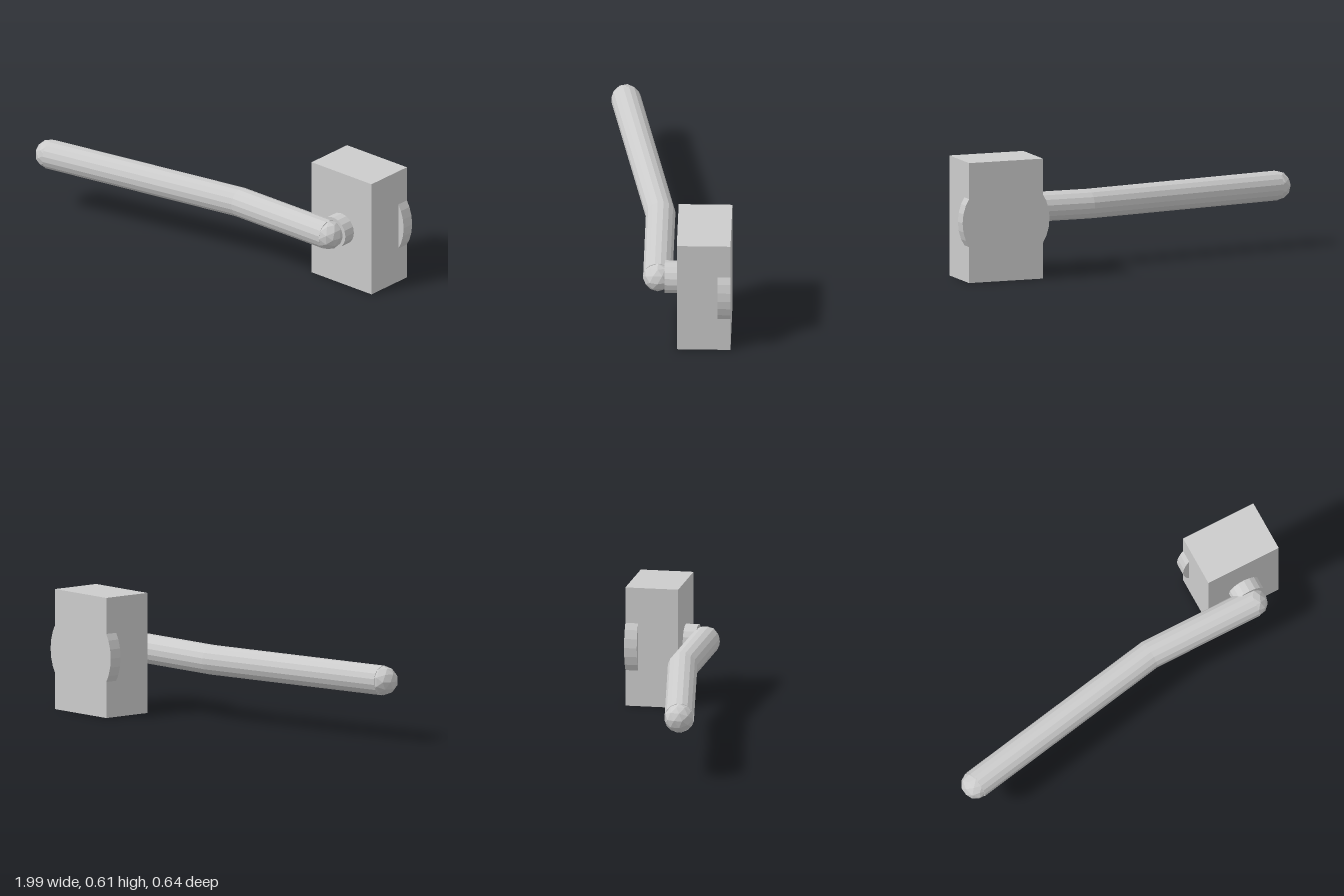
import * as THREE from 'three';

const X = 0.76, Y = 0.305, ROD_Z = 0.045, R = 0.075;

export function createModel() {
  const group = new THREE.Group();
  const flat = new THREE.MeshStandardMaterial({ color: 0xcccccc, flatShading: true });

  const add = (name, geometry, x, y, z) => {
    const mesh = new THREE.Mesh(geometry, flat);
    mesh.name = name;
    mesh.position.set(x, y, z);
    group.add(mesh);
  };

  // Housing block with a wider round flange flush with its back
  add('housing', new THREE.BoxGeometry(0.4, 0.61, 0.27), X, Y, -0.19);
  add('backFlange', new THREE.CylinderGeometry(0.235, 0.235, 0.065, 32).rotateX(Math.PI / 2), X, Y, -0.2925);

  // Spindle joining the housing to the lever
  add('spindle', new THREE.CylinderGeometry(0.083, 0.083, 0.07, 16).rotateX(Math.PI / 2), X, Y, -0.025);

  // Lever rod: three rings, mitred at the bend
  const bend = Math.atan2(0.2, 1.095);
  const rings = [
    { x: -0.925, z: 0.245, tilt: bend, stretch: 1 },
    { x: 0.17, z: ROD_Z, tilt: bend / 2, stretch: 1 / Math.cos(bend / 2) },
    { x: X, z: ROD_Z, tilt: 0, stretch: 1 },
  ];
  const rod = new THREE.CylinderGeometry(R, R, 2, 16, 2).rotateY(Math.PI / 16).rotateZ(Math.PI / 2);
  const pos = rod.attributes.position;
  for (let i = 0; i < pos.count; i++) {
    const ring = rings[Math.round(pos.getX(i)) + 1];
    const w = pos.getZ(i) * ring.stretch;
    pos.setXYZ(i, ring.x + Math.sin(ring.tilt) * w, pos.getY(i), ring.z + Math.cos(ring.tilt) * w);
  }
  rod.computeVertexNormals();
  add('leverRod', rod, 0, Y, 0);

  // Faceted balls rounding off both rod ends
  add('pivotBall', new THREE.IcosahedronGeometry(R, 1), X, Y, ROD_Z);
  add('tipBall', new THREE.IcosahedronGeometry(R, 1).rotateY(-bend), -0.925, Y, 0.245);

  return group;
}
